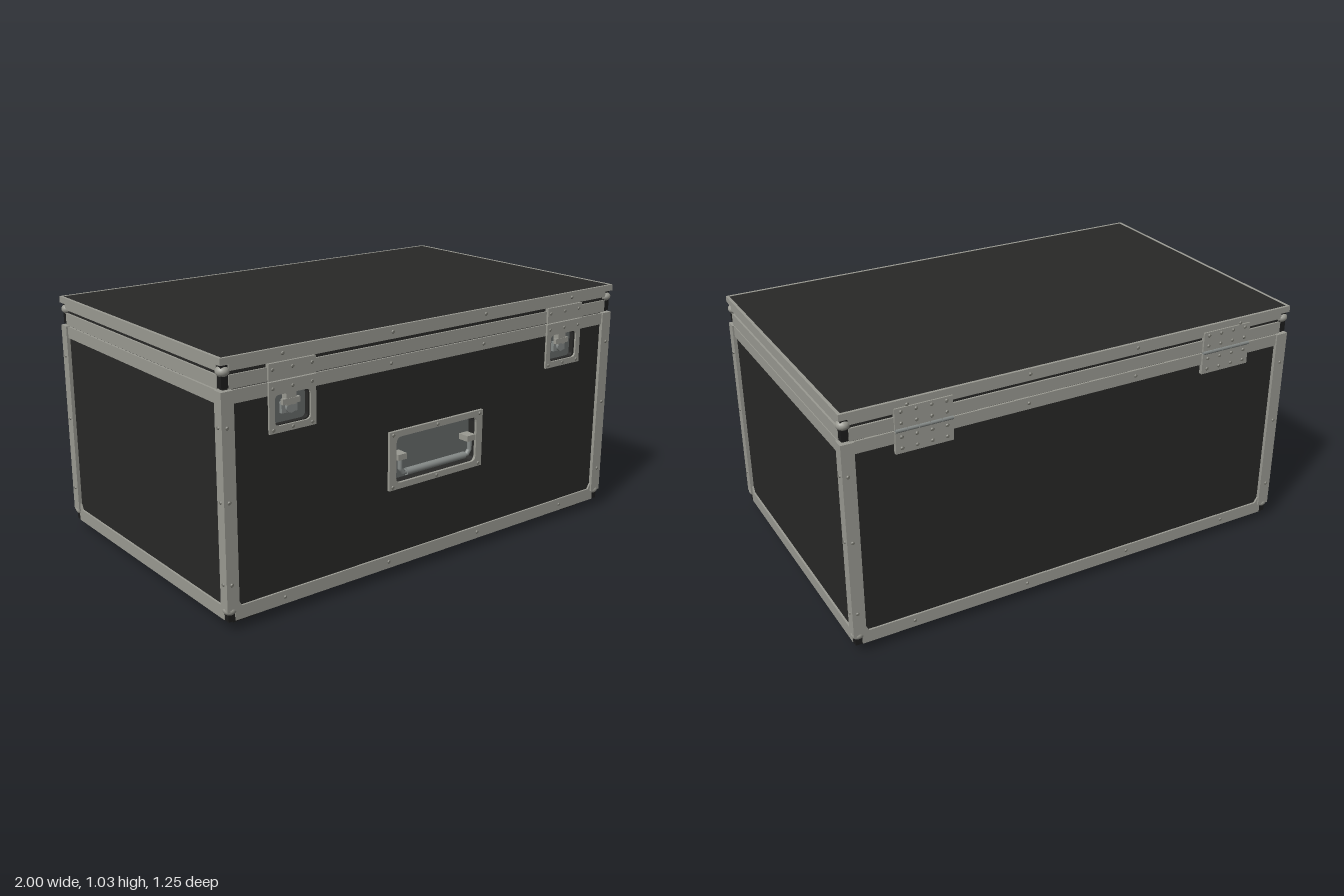
import * as THREE from 'three';

const mat = (color) => new THREE.MeshStandardMaterial({ color });
const metal = mat(0x9a9a92), steel = mat(0x858a88), pan = mat(0x666b6a);
const board = mat(0x282827), rubber = mat(0x1c1c1c), rivetMat = mat(0x77776f);

const HX = 0.982, HZ = 0.605; // half size of the boarded body

function add(parent, name, geo, material, x = 0, y = 0, z = 0) {
  const m = new THREE.Mesh(geo, material);
  m.name = name;
  m.position.set(x, y, z);
  parent.add(m);
  return m;
}

// Box given by its low and high corners
function box(parent, name, material, [x0, y0, z0], [x1, y1, z1]) {
  return add(parent, name, new THREE.BoxGeometry(x1 - x0, y1 - y0, z1 - z0), material,
    (x0 + x1) / 2, (y0 + y1) / 2, (z0 + z1) / 2);
}

function rect(P, x0, y0, x1, y1, r = 0) {
  const p = new P();
  p.moveTo(x0 + r, y0);
  p.lineTo(x1 - r, y0); if (r) p.quadraticCurveTo(x1, y0, x1, y0 + r);
  p.lineTo(x1, y1 - r); if (r) p.quadraticCurveTo(x1, y1, x1 - r, y1);
  p.lineTo(x0 + r, y1); if (r) p.quadraticCurveTo(x0, y1, x0, y1 - r);
  p.lineTo(x0, y0 + r); if (r) p.quadraticCurveTo(x0, y0, x0 + r, y0);
  return p;
}

// Flat plate with rectangular holes, extruded towards +z
function plate(outer, holes, depth) {
  const s = rect(THREE.Shape, ...outer);
  holes.forEach((h) => s.holes.push(rect(THREE.Path, ...h)));
  return new THREE.ExtrudeGeometry(s, { depth, bevelEnabled: false, curveSegments: 4 });
}

const rivetGeo = new THREE.CylinderGeometry(0.005, 0.008, 0.005, 10);
function rivet(parent, x, y, z, axis) {
  const m = add(parent, 'rivet', rivetGeo, rivetMat, x, y, z);
  if (axis === 'z') m.rotation.x = Math.sign(z) * Math.PI / 2;
  else m.rotation.z = -Math.sign(x) * Math.PI / 2;
}

// Rails running round all four sides, stopping short of the corners
function railRing(parent, name, y0, y1, out) {
  for (const s of [-1, 1]) {
    const z = s * (HZ - 0.01 + out) / 1, x = s * (HX - 0.01 + out);
    const h = y1 - y0, y = (y0 + y1) / 2;
    add(parent, name, new THREE.BoxGeometry(1.92, h, 0.02), metal, 0, y, z);
    add(parent, name, new THREE.BoxGeometry(0.02, h, 1.17), metal, x, y, 0);
  }
}

function buildLatch(x) {
  const g = new THREE.Group();
  g.name = 'latch';
  g.position.x = x;
  const hole = [-0.078, 0.745, 0.078, 0.86, 0.02];
  add(g, 'latchDishPlate', plate([-0.102, 0.72, 0.102, 0.91], [hole], 0.009), metal, 0, 0, 0.613);
  box(g, 'latchLidPlate', metal, [-0.102, 0.914, 0.6], [0.102, 0.978, 0.622]);
  box(g, 'latchDishFloor', pan, [-0.08, 0.74, 0.56], [0.08, 0.865, 0.585]);
  // Butterfly turn and hook
  box(g, 'latchBase', steel, [-0.034, 0.78, 0.585], [0.034, 0.822, 0.6]);
  box(g, 'latchHook', metal, [-0.022, 0.81, 0.585], [0.022, 0.868, 0.612]);
  box(g, 'latchWing', metal, [-0.038, 0.815, 0.6], [0.038, 0.836, 0.614]);
  const turn = add(g, 'latchTurn', new THREE.CylinderGeometry(0.02, 0.02, 0.018, 16), steel, 0, 0.8, 0.603);
  turn.rotation.x = Math.PI / 2;
  for (const sx of [-0.085, 0, 0.085])
    for (const y of [0.733, 0.885, 0.955]) rivet(g, sx, y, 0.623, 'z');
  return g;
}

function buildHandle() {
  const g = new THREE.Group();
  g.name = 'frontHandle';
  const hole = [-0.212, 0.395, 0.212, 0.585, 0.025];
  add(g, 'handlePlate', plate([-0.245, 0.37, 0.245, 0.61], [hole], 0.012), metal, 0, 0, 0.605);
  box(g, 'handleDishFloor', pan, [-0.215, 0.39, 0.55], [0.215, 0.59, 0.57]);
  // Drop grip with sleeved bar and hinge lugs
  const pts = [[-0.185, 0.5], [-0.185, 0.45], [-0.17, 0.43], [0.17, 0.43], [0.185, 0.45], [0.185, 0.5]]
    .map(([x, y]) => new THREE.Vector3(x, y, 0.607));
  const path = new THREE.CurvePath();
  for (let i = 1; i < pts.length; i++) path.add(new THREE.LineCurve3(pts[i - 1], pts[i]));
  add(g, 'handleBail', new THREE.TubeGeometry(path, 60, 0.01, 10), steel);
  const grip = add(g, 'handleGrip', new THREE.CylinderGeometry(0.015, 0.015, 0.31, 14), steel, 0, 0.43, 0.607);
  grip.rotation.z = Math.PI / 2;
  for (const s of [-1, 1]) box(g, 'handleLug', metal, [s * 0.183 - 0.022, 0.488, 0.57], [s * 0.183 + 0.022, 0.512, 0.62]);
  for (const x of [-0.228, 0, 0.228]) for (const y of [0.383, 0.597]) rivet(g, x, y, 0.619, 'z');
  return g;
}

function buildHinge(x) {
  const g = new THREE.Group();
  g.name = 'hinge';
  g.position.x = x;
  box(g, 'hingeLowerLeaf', metal, [-0.115, 0.82, -0.621], [0.115, 0.908, -0.6]);
  box(g, 'hingeUpperLeaf', metal, [-0.115, 0.916, -0.621], [0.115, 1.0, -0.6]);
  for (let i = 0; i < 5; i++) {
    const k = add(g, 'hingeKnuckle', new THREE.CylinderGeometry(0.008, 0.008, 0.043, 12), steel, -0.092 + i * 0.046, 0.912, -0.619);
    k.rotation.z = Math.PI / 2;
  }
  for (const sx of [-0.09, -0.03, 0.03, 0.09])
    for (const y of [0.84, 0.885, 0.94, 0.985]) rivet(g, sx, y, -0.623, 'z');
  return g;
}

// Corner post, bracket and ball fittings for the corner at +x +z, mirrored by sx and sz
function buildCorner(sx, sz) {
  const g = new THREE.Group();
  g.name = 'corner';
  const b = (name, m, lo, hi) => {
    const mesh = box(g, name, m, lo, hi);
    mesh.position.x *= sx;
    mesh.position.z *= sz;
  };
  b('postFrontLeg', metal, [0.945, 0.085, 0.6], [0.997, 0.91, 0.62]);
  b('postSideLeg', metal, [0.977, 0.085, 0.575], [0.997, 0.91, 0.62]);
  b('lidCornerBlock', rubber, [0.955, 0.918, 0.58], [0.988, 1.006, 0.611]);
  b('baseCornerBlock', rubber, [0.955, 0.042, 0.58], [0.988, 0.1, 0.611]);
  for (const y of [0.978, 0.085]) {
    const ball = add(g, 'ballCorner', new THREE.SphereGeometry(0.026, 16, 12), metal, sx * 0.974, y, sz * 0.597);
    ball.scale.y = 0.8;
  }
  // Small triangular braces at the foot of the posts
  const tri = new THREE.Shape([[0, 0], [0, 0.028], [-0.016, 0]].map((p) => new THREE.Vector2(...p)));
  const geo = new THREE.ExtrudeGeometry(tri, { depth: 0.008, bevelEnabled: false });
  const front = add(g, 'cornerBrace', geo, metal, sx * 0.946, 0.094, sz * 0.609);
  const side = add(g, 'cornerBrace', geo, metal, sx * 0.986, 0.094, sz * 0.576);
  front.position.z -= 0.004;
  if (sx < 0) { front.rotation.y = Math.PI; front.position.z += 0.008; }
  side.rotation.y = -sz * Math.PI / 2;
  side.position.x += sz * 0.004;
  for (const y of [0.19, 0.505, 0.78]) {
    rivet(g, sx * 0.975, y, sz * 0.622, 'z');
    rivet(g, sx * 0.999, y, sz * 0.597, 'x');
  }
  return g;
}

export function createModel() {
  const root = new THREE.Group();
  root.name = 'flightCase';

  // Body and front panel, which is cut out for the recessed dishes
  box(root, 'body', board, [-HX, 0.042, -HZ], [HX, 0.909, 0.55]);
  const dishes = [[-0.212, 0.395, 0.212, 0.585, 0.025],
    ...[-0.7, 0.7].map((x) => [x - 0.078, 0.745, x + 0.078, 0.86, 0.02])];
  add(root, 'frontPanel', plate([-HX, 0.042, HX, 0.909], dishes, HZ - 0.55), board, 0, 0, 0.55);

  // Lid with its rim
  box(root, 'lidBody', board, [-HX, 0.913, -HZ], [HX, 1.015, HZ]);
  const rim = add(root, 'lidRim', plate([-0.997, -0.62, 0.997, 0.62], [[-0.985, -0.609, 0.985, 0.609]], 0.026), metal, 0, 1.004, 0);
  rim.rotation.x = -Math.PI / 2;
  box(root, 'lidPanel', board, [-0.986, 1.006, -0.61], [0.986, 1.029, 0.61]);

  railRing(root, 'baseRail', 0.042, 0.095, 0.008);
  railRing(root, 'bodyTopRail', 0.86, 0.909, 0.008);
  railRing(root, 'lidLowerRail', 0.914, 0.964, 0.008);
  railRing(root, 'lidUpperRail', 0.979, 1.006, 0.01);
  for (const s of [-1, 1])
    for (const x of [-0.74, -0.24, 0.24, 0.74])
      for (const [y, z] of [[0.07, 0.615], [0.885, 0.615], [1.008, 0.622]]) rivet(root, x, y, s * z, 'z');

  for (const sx of [-1, 1]) {
    for (const sz of [-1, 1]) {
      root.add(buildCorner(sx, sz));
      const x = sx * 0.88, z = sz * 0.498;
      box(root, 'foot', rubber, [x - 0.053, 0, z - 0.053], [x + 0.053, 0.044, z + 0.053]);
    }
    root.add(buildLatch(sx * 0.7), buildHinge(sx * 0.675));
  }
  root.add(buildHandle());
  return root;
}
